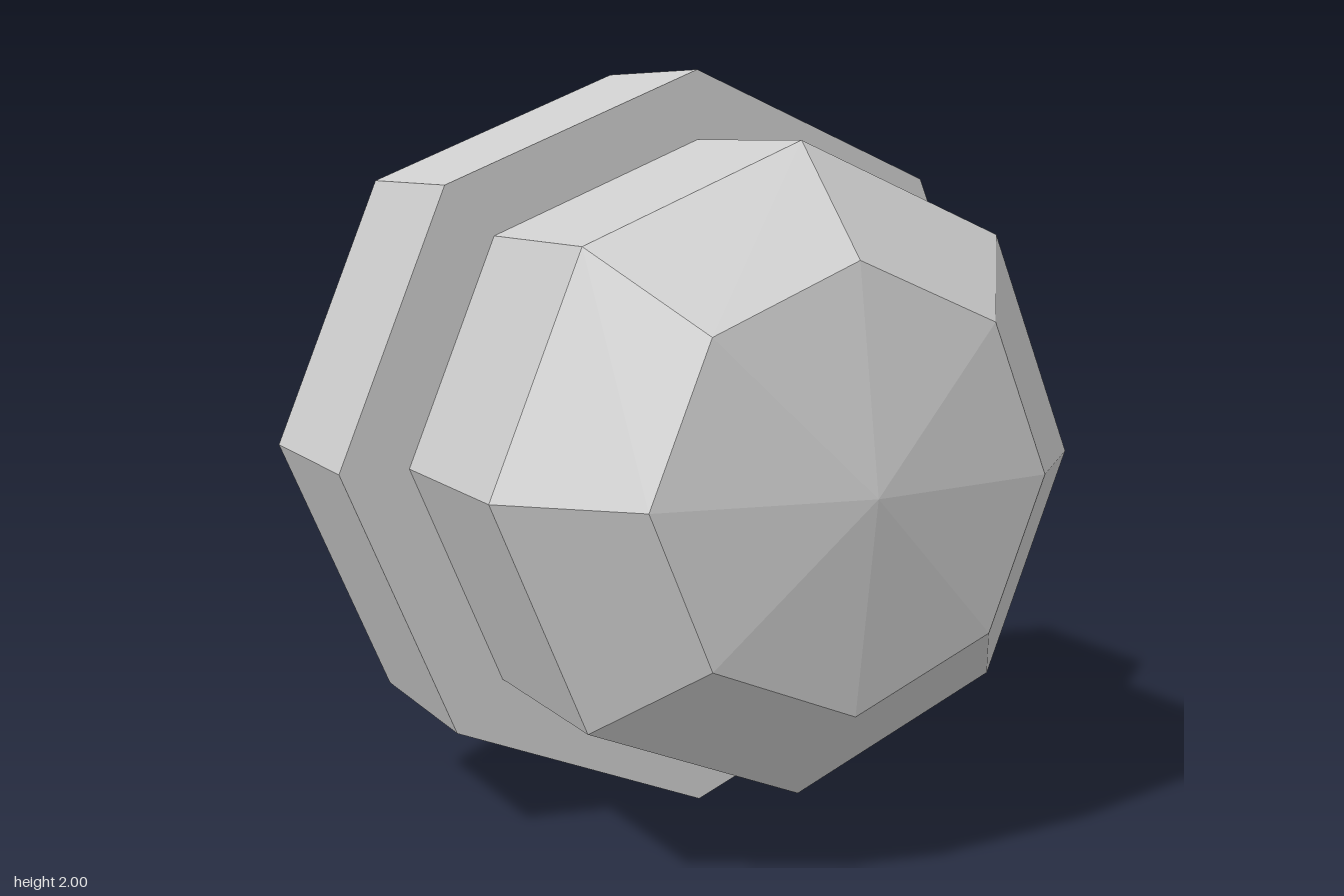
import * as THREE from 'three';

export function createModel() {
  const group = new THREE.Group();
  const grey = new THREE.MeshStandardMaterial({ color: 0xcccccc, flatShading: true });
  grey.name = 'light grey';

  // Eight-sided section along z, from back to front
  function section(name, backRadius, frontRadius, back, front, open) {
    const geometry = new THREE.CylinderGeometry(frontRadius, backRadius, front - back, 8, 1, open);
    geometry.rotateX(Math.PI / 2);
    const mesh = new THREE.Mesh(geometry, grey);
    mesh.name = name;
    mesh.position.set(0, 1, (back + front) / 2);
    group.add(mesh);
  }

  section('baseFlange', 1, 1, -0.727, -0.182, false);
  section('body', 0.818, 0.818, -0.182, 0.364, true);
  section('shoulder', 0.818, 0.545, 0.364, 0.636, true);
  section('domeTip', 0.545, 0, 0.636, 0.727, true);

  return group;
}
